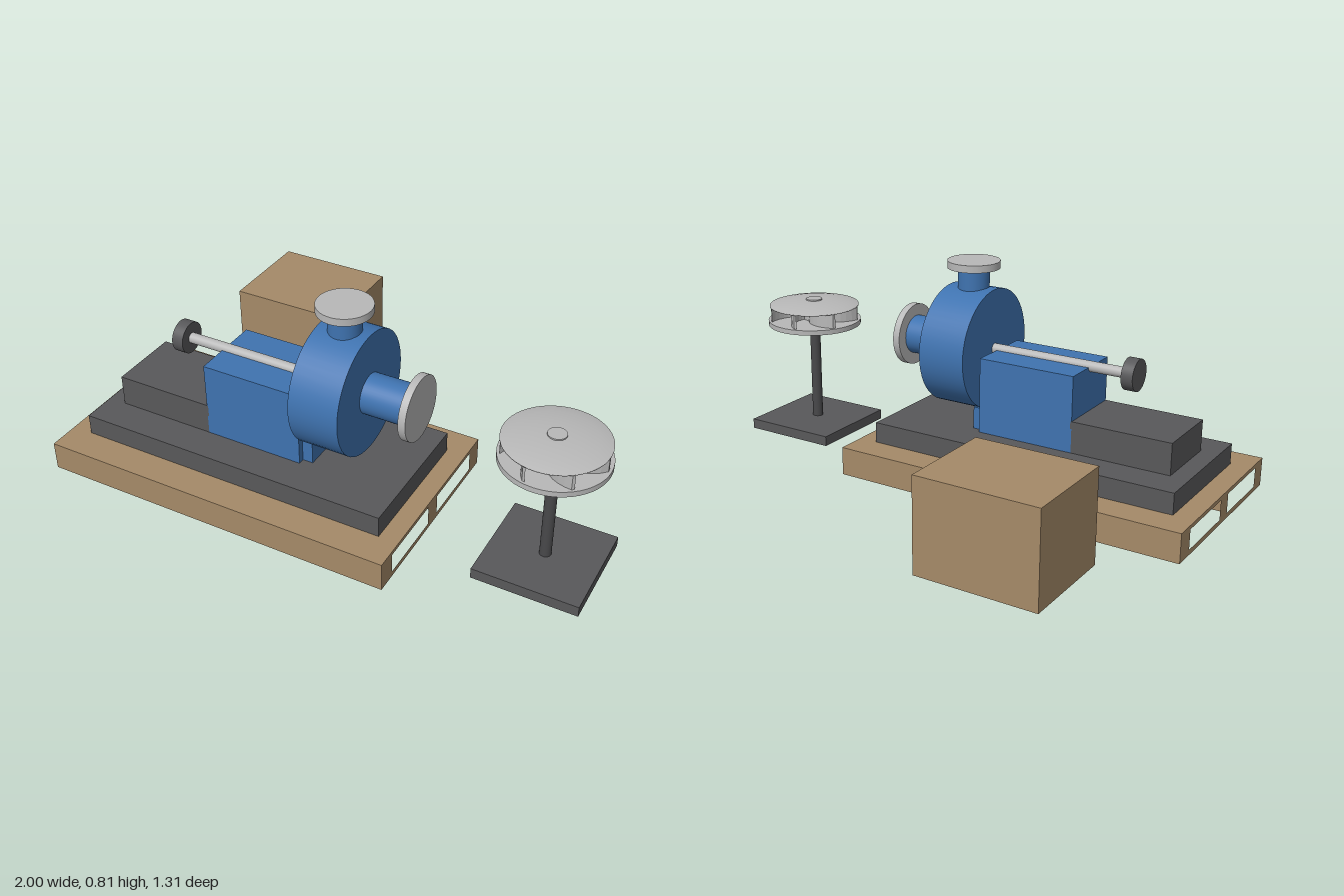
import * as THREE from 'three';

const paint = (color) => new THREE.MeshStandardMaterial({ color });

export function createModel() {
  const model = new THREE.Group();
  const wood = paint(0xa58a68), blue = paint(0x3f73b0), dark = paint(0x58585a);
  const steel = paint(0xb8b8b8), post = paint(0x48484a);
  const CZ = 0.27; // shared centre line in z

  const add = (name, geometry, material, x = 0, y = 0, z = 0, parent = model) => {
    const mesh = new THREE.Mesh(geometry, material);
    mesh.name = name;
    mesh.position.set(x, y, z);
    parent.add(mesh);
    return mesh;
  };
  // Box given by its extents along each axis
  const box = (name, mat, x0, x1, y0, y1, z0, z1) =>
    add(name, new THREE.BoxGeometry(x1 - x0, y1 - y0, z1 - z0), mat,
      (x0 + x1) / 2, (y0 + y1) / 2, (z0 + z1) / 2);
  // Cylinder lying along x, and one standing along y
  const rodX = (name, mat, r, x0, x1, y) => {
    const geo = new THREE.CylinderGeometry(r, r, x1 - x0, 48).rotateZ(Math.PI / 2);
    return add(name, geo, mat, (x0 + x1) / 2, y, CZ);
  };
  const rodY = (name, mat, r, y0, y1, x) =>
    add(name, new THREE.CylinderGeometry(r, r, y1 - y0, 48), mat, x, (y0 + y1) / 2, CZ);

  // Pallet: a section with two fork openings, extruded along x
  const rect = (target, z0, z1, y0, y1) => {
    target.moveTo(-z0, y0).lineTo(-z1, y0).lineTo(-z1, y1).lineTo(-z0, y1).closePath();
    return target;
  };
  const section = rect(new THREE.Shape(), -0.117, 0.655, 0, 0.11);
  section.holes.push(rect(new THREE.Path(), -0.04, 0.235, 0.02, 0.095));
  section.holes.push(rect(new THREE.Path(), 0.305, 0.58, 0.02, 0.095));
  const palletGeo = new THREE.ExtrudeGeometry(section, { depth: 1.38, bevelEnabled: false });
  add('pallet', palletGeo.rotateY(Math.PI / 2), wood, -1, 0, 0);

  // Base and bearing supports
  box('basePlate', dark, -0.92, 0.305, 0.11, 0.19, 0, 0.535);
  box('motorPlinth', dark, -0.85, -0.46, 0.19, 0.31, 0.13, 0.407);
  box('bearingHousing', blue, -0.465, -0.08, 0.19, 0.48, 0.13, 0.407);
  box('housingFoot', blue, -0.08, -0.04, 0.19, 0.275, 0.155, 0.383);

  // Shaft and coupling
  rodX('shaft', steel, 0.02, -0.61, -0.05, 0.48);
  rodX('coupling', dark, 0.06, -0.655, -0.61, 0.48);

  // Pump casing with suction and discharge nozzles
  rodX('casing', blue, 0.23, -0.06, 0.13, 0.48);
  rodX('suctionNozzle', blue, 0.075, 0.12, 0.297, 0.48);
  rodX('suctionFlange', steel, 0.12, 0.297, 0.325, 0.48);
  rodY('dischargeNozzle', blue, 0.06, 0.69, 0.782, 0.035);
  rodY('dischargeFlange', steel, 0.1, 0.782, 0.81, 0.035);

  // Display stand
  const SX = 0.807;
  box('standPlate', dark, 0.615, 1, 0, 0.04, 0.077, 0.461);
  rodY('standPost', post, 0.021, 0.04, 0.445, SX);

  // Impeller: back disc, curved vanes, domed shroud and hub cap
  const impeller = new THREE.Group();
  impeller.name = 'impeller';
  impeller.position.set(SX, 0.445, CZ);
  model.add(impeller);
  add('backDisc', new THREE.CylinderGeometry(0.19, 0.19, 0.02, 48), steel, 0, 0.01, 0, impeller);
  add('hub', new THREE.CylinderGeometry(0.045, 0.045, 0.07, 32), steel, 0, 0.05, 0, impeller);
  const dome = [[0, 0.078], [0.183, 0.078], [0.183, 0.081], [0.14, 0.09], [0.09, 0.097], [0.04, 0.1], [0, 0.1]];
  const domeGeo = new THREE.LatheGeometry(dome.map(([r, y]) => new THREE.Vector2(r, y)), 48);
  add('shroud', domeGeo, steel, 0, 0, 0, impeller);
  add('hubCap', new THREE.CylinderGeometry(0.033, 0.033, 0.01, 32), steel, 0, 0.1, 0, impeller);

  // One swept vane outline, repeated around the hub
  const VANES = 7, STEPS = 8, SWEEP = 0.9, HALF = 0.005;
  const side = (offset) => Array.from({ length: STEPS + 1 }, (_, i) => {
    const t = i / STEPS, r = 0.04 + 0.14 * t, a = SWEEP * t + offset / r;
    return new THREE.Vector2(r * Math.cos(a), r * Math.sin(a));
  });
  const outline = new THREE.Shape([...side(-HALF), ...side(HALF).reverse()]);
  const vaneGeo = new THREE.ExtrudeGeometry(outline, { depth: 0.062, bevelEnabled: false });
  vaneGeo.rotateX(-Math.PI / 2);
  for (let i = 0; i < VANES; i++) {
    add('vane', vaneGeo, steel, 0, 0.018, 0, impeller).rotation.y = (i / VANES) * Math.PI * 2;
  }

  // Crate standing behind the pallet
  box('crate', wood, -0.77, -0.31, 0, 0.35, -0.655, -0.272);

  return model;
}
